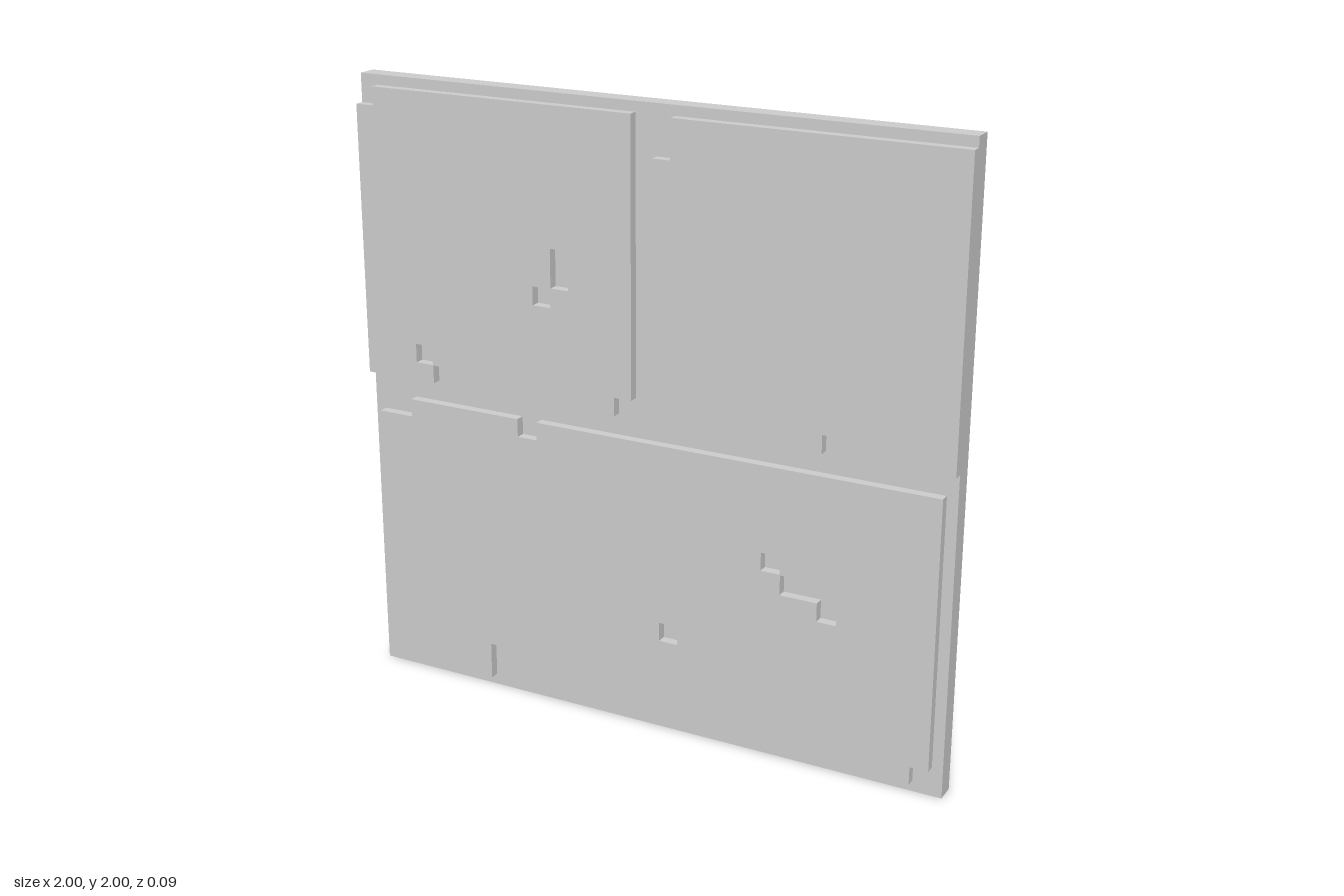
import * as THREE from 'three';

const BACK = -0.047, FACE = 0.016, FRONT = 0.047;

// Closed path from corner pairs
const points = (c) => c.map(([x, y]) => new THREE.Vector2(x, y));

// Rectangular pit outline, inset a hair so that pits may meet at corners
const pit = (x0, y0, x1, y1, e = 0.001) =>
  [[x0 + e, y0 + e], [x0 + e, y1 - e], [x1 - e, y1 - e], [x1 - e, y0 + e]];

export function createModel() {
  const group = new THREE.Group();
  const material = new THREE.MeshStandardMaterial({ color: 0xcccccc, flatShading: true });

  const add = (name, geometry, z) => {
    const mesh = new THREE.Mesh(geometry, material);
    mesh.name = name;
    mesh.position.z = z;
    group.add(mesh);
    return mesh;
  };

  // Raised stone slab with chipped edges and pits
  const stone = (name, outline, pits = []) => {
    const shape = new THREE.Shape(points(outline));
    shape.holes = pits.map((p) => new THREE.Path(points(p)));
    add(name, new THREE.ExtrudeGeometry(shape, { depth: FRONT - FACE, bevelEnabled: false }), FACE);
  };

  // Mortar backing
  add('backPlate', new THREE.BoxGeometry(2, 2, FACE - BACK), (FACE + BACK) / 2).position.y = 1;

  // Upper stone on the model's right, running off the edge
  stone('upperRightStone', [
    [-1, 1.037], [-0.751, 1.037], [-0.751, 1.096], [-0.687, 1.096], [-0.687, 1.037],
    [-0.094, 1.037], [-0.094, 1.096], [-0.035, 1.096], [-0.035, 1.968],
    [-0.939, 1.968], [-0.939, 1.909], [-1, 1.909],
  ], [
    pit(-0.815, 1.096, -0.751, 1.16),
    pit(-0.377, 1.347, -0.313, 1.409),
    pit(-0.313, 1.409, -0.249, 1.535),
  ]);

  // Upper stone on the model's left, running off the edge
  stone('upperLeftStone', [
    [0.035, 1.037], [0.591, 1.037], [0.591, 1.096], [0.655, 1.096], [0.655, 1.037],
    [1, 1.037], [1, 1.968], [0.094, 1.968], [0.094, 1.845], [0.035, 1.845],
  ]);

  // Wide lower stone
  stone('lowerStone', [
    [-0.965, 0.037], [-0.564, 0.037], [-0.564, 0.16], [-0.5, 0.16], [-0.5, 0.096],
    [-0.372, 0.096], [-0.372, 0.037], [0.906, 0.037], [0.906, 0.096], [0.965, 0.096],
    [0.965, 0.968], [-0.372, 0.968], [-0.372, 0.909], [-0.441, 0.909], [-0.441, 0.968],
    [-0.842, 0.968], [-0.842, 0.909], [-0.965, 0.909],
  ], [
    pit(0.061, 0.316, 0.126, 0.38),
    pit(0.404, 0.629, 0.468, 0.69),
    [[0.469, 0.628], [0.655, 0.628], [0.655, 0.503], [0.591, 0.503], [0.591, 0.563], [0.469, 0.563]],
  ]);

  return group;
}
